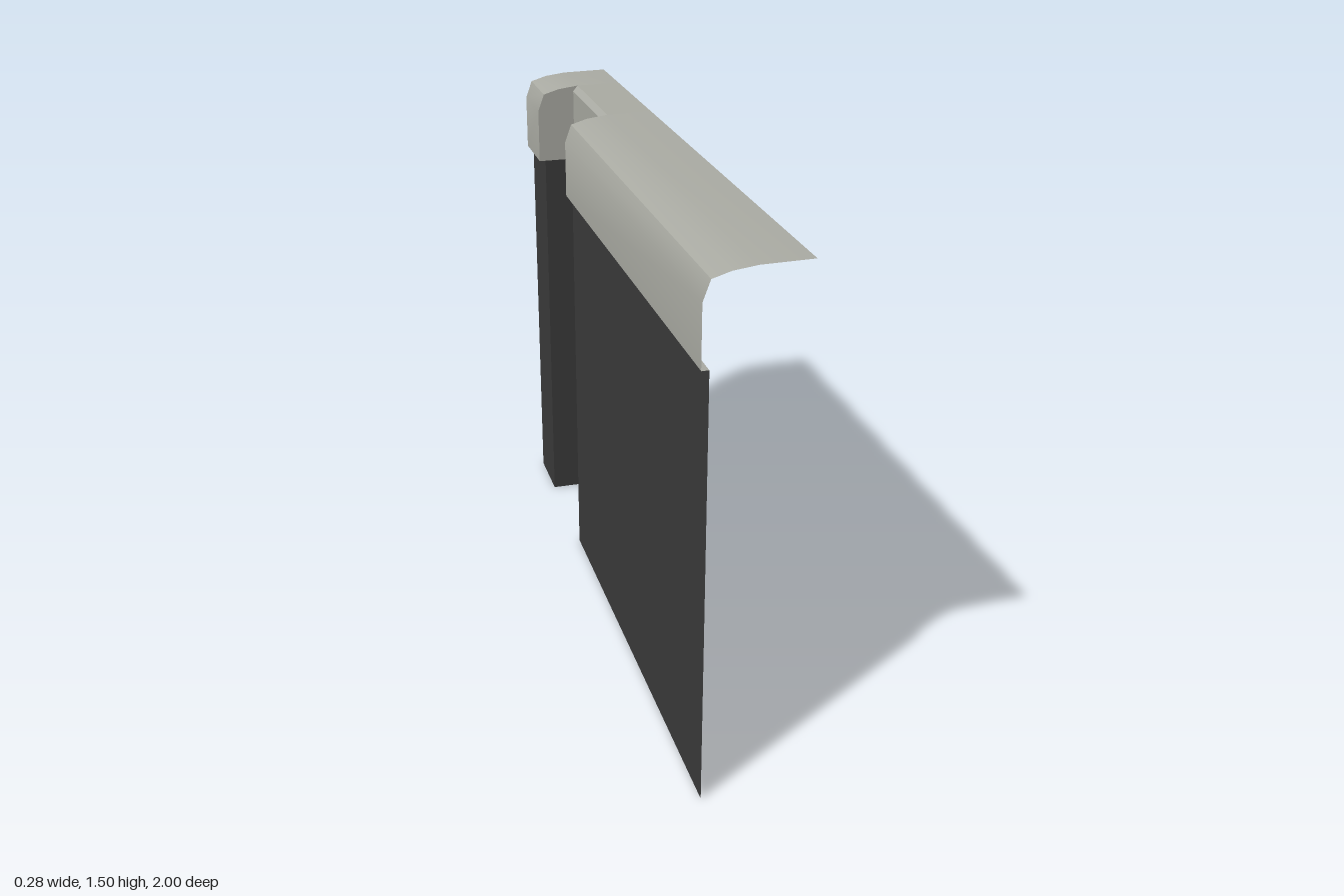
import * as THREE from 'three';
import { toCreasedNormals } from 'three/addons/utils/BufferGeometryUtils.js';

const wallMat = new THREE.MeshStandardMaterial({ color: 0x3b3b3b, side: THREE.DoubleSide });
wallMat.name = 'dark wall';
const trimMat = new THREE.MeshStandardMaterial({ color: 0xabaca4, side: THREE.DoubleSide });
trimMat.name = 'pale trim';

// Sweep an open x/y profile along z from z0 to z1 as a thin sheet.
function sheet(profile, z0, z1) {
  const pos = [];
  const index = [];
  for (const [x, y] of profile) pos.push(x, y, z0, x, y, z1);
  for (let i = 0; i < profile.length - 1; i++) {
    const a = i * 2;
    index.push(a, a + 1, a + 3, a, a + 3, a + 2);
  }
  const g = new THREE.BufferGeometry();
  g.setAttribute('position', new THREE.Float32BufferAttribute(pos, 3));
  g.setIndex(index);
  return toCreasedNormals(g, 0.6);
}

// Flat x/y outline standing at depth z.
function panel(points, z) {
  const shape = new THREE.Shape(points.map(([x, y]) => new THREE.Vector2(x, y)));
  return new THREE.ShapeGeometry(shape).translate(0, 0, z);
}

export function createModel() {
  const model = new THREE.Group();
  model.name = 'wallWithCoping';
  const add = (name, geometry, material) => {
    const mesh = new THREE.Mesh(geometry, material);
    mesh.name = name;
    model.add(mesh);
  };

  const outer = -0.12, inner = -0.02, wallTop = 1.25;
  const curve = [[-0.14, wallTop], [-0.14, 1.42], [-0.12, 1.475], [-0.07, 1.49], [-0.005, 1.498]];
  const lip = [0.135, 1.5];

  // Outer wall and rounded coping on both sides of the recess
  for (const [side, z0, z1] of [['front', -0.4, 1], ['back', -1, -0.8]]) {
    add(side + 'Wall', sheet([[outer, 0], [outer, wallTop]], z0, z1), wallMat);
    add(side + 'Coping', sheet([[outer, wallTop], ...curve, lip], z0, z1), trimMat);
  }

  // Recessed wall, its trim and the narrow top sheet
  add('recessWall', sheet([[inner, 0], [inner, wallTop]], -0.8, -0.4), wallMat);
  add('recessCoping', sheet([[inner, wallTop], [inner, 1.48], curve[4], lip], -0.8, -0.4), trimMat);

  // Return walls closing the two sides of the recess
  for (const [side, z] of [['front', -0.4], ['back', -0.8]]) {
    add(side + 'ReturnWall', panel([[outer, 0], [inner, 0], [inner, wallTop], [outer, wallTop]], z), wallMat);
    add(side + 'ReturnCoping', panel([...curve, [inner, 1.48], [inner, wallTop]], z), trimMat);
  }
  return model;
}
